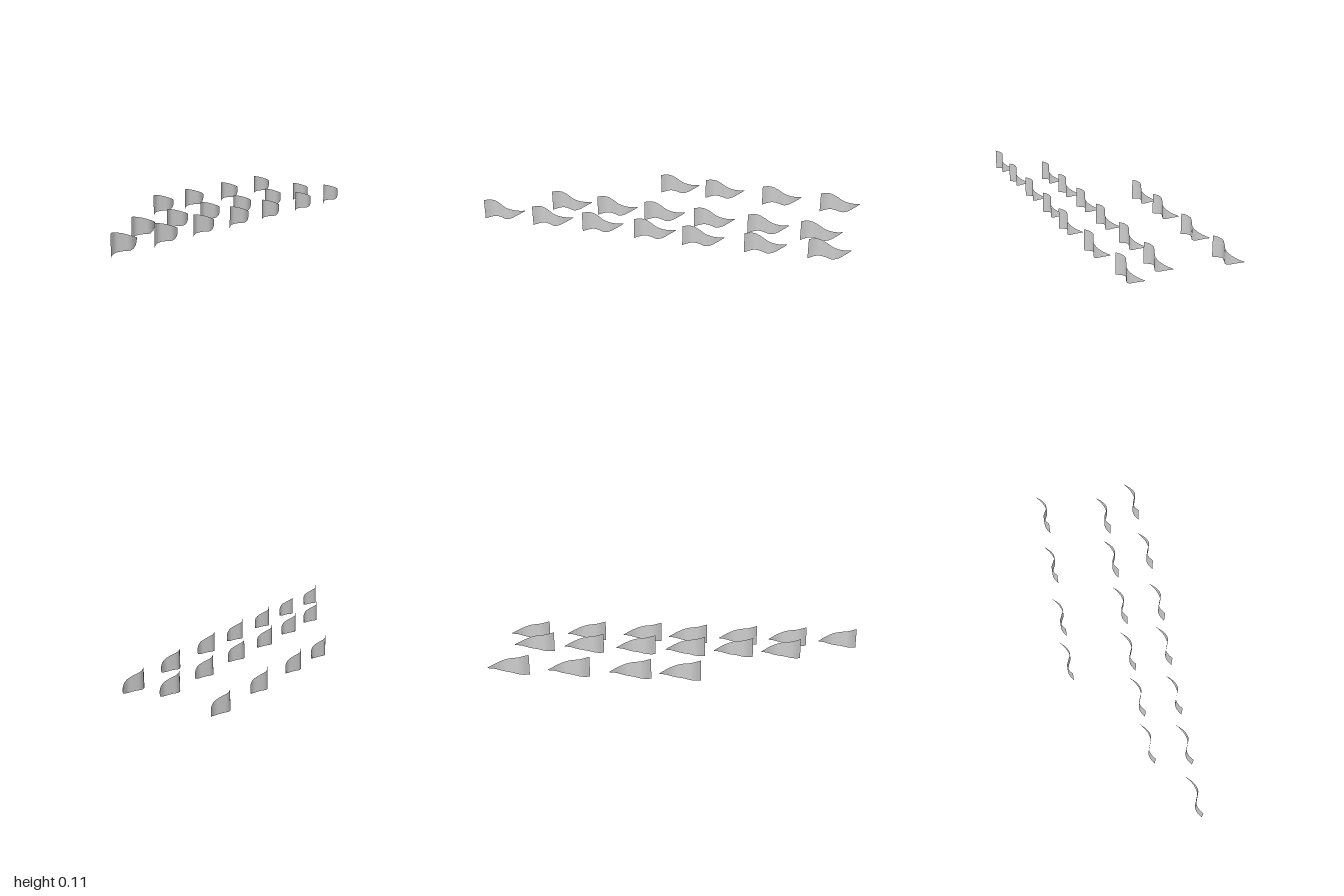
import * as THREE from 'three';

// Cross-sections of one waving pennant: [x, z, top y, bottom y]
const SECTIONS = [
  [0, 0, 0.115, 0.001],
  [0.027, -0.018, 0.113, 0.006],
  [0.054, -0.025, 0.108, 0.011],
  [0.09, -0.013, 0.099, 0.014],
  [0.125, 0, 0.086, 0.013],
  [0.155, -0.004, 0.075, 0.021],
  [0.185, -0.02, 0.064, 0.036],
  [0.205, -0.037, 0.057, 0.045],
  [0.217, -0.048, 0.0535, 0.0505],
];

// Rows of pennants: [x of the wide edge, z of the wide edge]
const ROWS = {
  frontRow: [[-1, 0.294], [-0.715, 0.298], [-0.43, 0.295], [-0.14, 0.294],
    [0.127, 0.303], [0.455, 0.294], [0.783, 0.27]],
  middleRow: [[-0.675, 0.103], [-0.41, 0.097], [-0.14, 0.092], [0.14, 0.094],
    [0.435, 0.092], [0.72, 0.092]],
  backRow: [[-0.14, -0.255], [0.125, -0.255], [0.455, -0.255], [0.783, -0.255]],
};

// Thin sheet stretched between the smooth top and bottom edges
function pennantGeometry(columns = 40, rows = 4) {
  const edge = (k) => new THREE.CatmullRomCurve3(
    SECTIONS.map((s) => new THREE.Vector3(s[0], s[k], s[1])));
  const top = edge(2);
  const bottom = edge(3);
  const geometry = new THREE.PlaneGeometry(1, 1, columns, rows);
  const position = geometry.attributes.position;
  const p = new THREE.Vector3();
  for (let i = 0; i < position.count; i++) {
    const t = position.getX(i) + 0.5;
    p.lerpVectors(bottom.getPoint(t), top.getPoint(t), position.getY(i) + 0.5);
    position.setXYZ(i, p.x, p.y, p.z);
  }
  geometry.computeVertexNormals();
  return geometry;
}

export function createModel() {
  const model = new THREE.Group();
  model.name = 'pennants';
  const geometry = pennantGeometry();
  const material = new THREE.MeshStandardMaterial({ color: 0xcccccc, side: THREE.DoubleSide });

  for (const [name, places] of Object.entries(ROWS)) {
    const row = new THREE.Group();
    row.name = name;
    for (const [x, z] of places) {
      const pennant = new THREE.Mesh(geometry, material);
      pennant.name = 'pennant';
      pennant.position.set(x, 0, z);
      row.add(pennant);
    }
    model.add(row);
  }
  return model;
}
